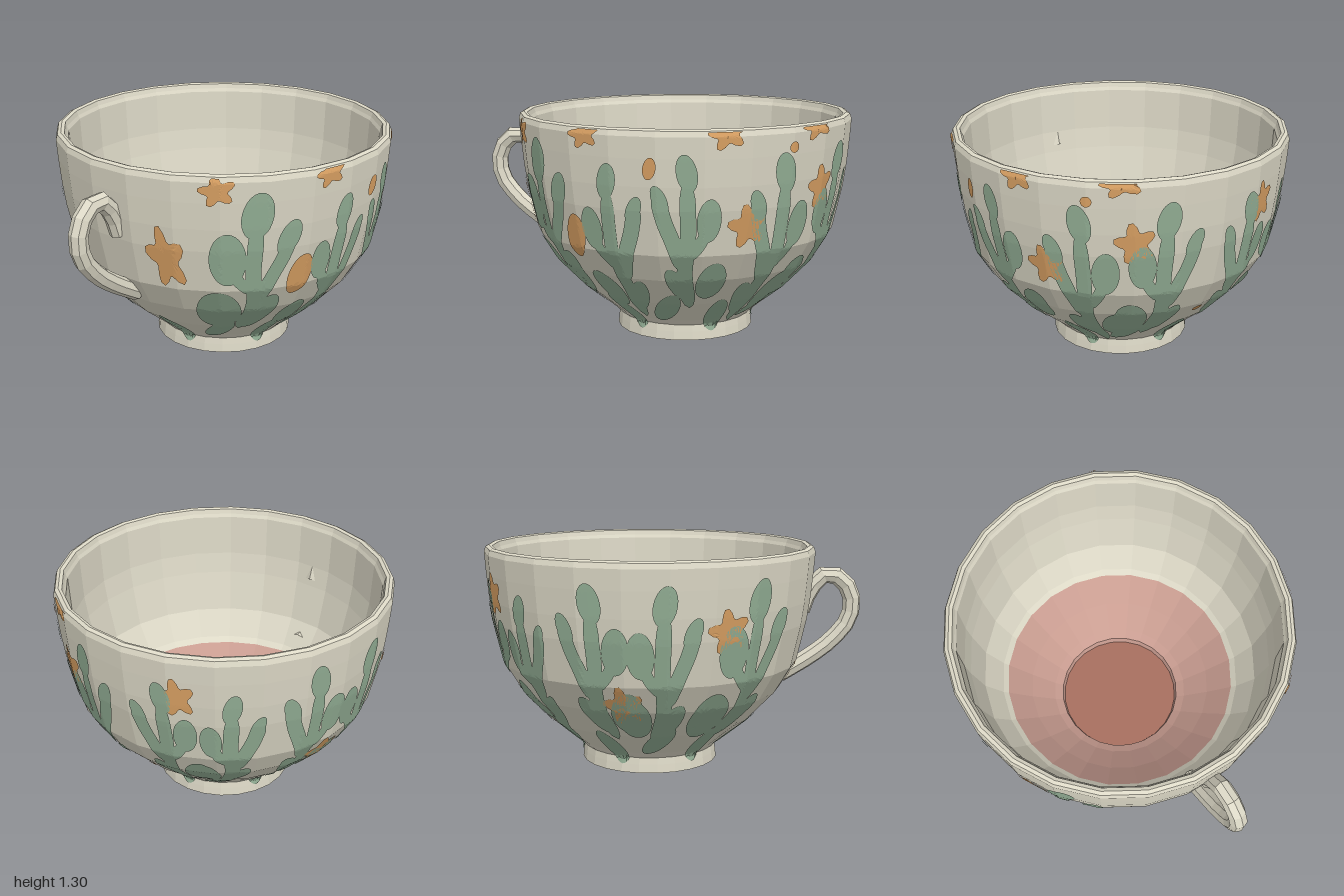
import * as THREE from 'three';
import { mergeGeometries } from 'three/addons/utils/BufferGeometryUtils.js';

const SIDES = 24;
const OUTER = [[0.41, 0], [0.405, 0.05], [0.4, 0.09], [0.44, 0.13], [0.62, 0.28], [0.79, 0.46], [0.885, 0.62],
  [0.94, 0.87], [0.958, 1.0], [0.972, 1.15], [0.98, 1.265], [0.97, 1.295], [0.95, 1.305]];
const INNER = [[0.95, 1.305], [0.93, 1.298], [0.922, 1.27], [0.912, 1.25], [0.9, 1.0], [0.88, 0.87], [0.825, 0.62],
  [0.73, 0.46], [0.70, 0.43]];
const WELL = [[0.70, 0.43], [0.56, 0.29], [0.42, 0.17], [0.37, 0.14], [0.36, 0.1]];
const BASE = [[0, 0.04], [0.35, 0.04], [0.36, 0], [0.41, 0]];

// Seaweed plants: angle around the cup, foot height, tip height, side of the branch, leaf size
const PLANTS = [[-4, 0.25, 1.2, 1, 1], [28, 0.15, 1.15, 1, 0.65], [55, 0.25, 1.2, -1, 0.65], [88, 0.1, 1.2, -1, 0.75],
  [115, 0.2, 1.2, 1, 0.75], [148, 0.25, 1.15, -1, 0.65], [170, 0.25, 1.1, 1, 0.6], [200, 0.25, 1.2, -1, 0.75],
  [223, 0.2, 1.2, 1, 0.75], [256, 0.2, 1.2, 1, 0.9]];

// Starfish: angle, height, half width, half height
const STARS = [[-33, 0.81, 0.09, 0.155], [-16, 1.22, 0.08, 0.07], [21, 1.26, 0.08, 0.06], [-67, 0.57, 0.06, 0.06],
  [75, 0.78, 0.09, 0.1], [105, 0.95, 0.09, 0.1], [67, 1.28, 0.085, 0.07], [101, 1.29, 0.1, 0.06],
  [153, 1.05, 0.08, 0.1], [245, 0.92, 0.1, 0.1], [209, 0.5, 0.09, 0.1]];

// Plain orange spots, same order
const SPOTS = [[13, 0.69, 0.07, 0.13], [43, 1.1, 0.035, 0.06], [90, 1.19, 0.03, 0.03], [135, 0.42, 0.03, 0.025]];

function material(name, color) {
  const m = new THREE.MeshStandardMaterial({ color });
  m.name = name;
  return m;
}

// Faceted normals
function flat(geo) {
  const g = geo.toNonIndexed();
  g.computeVertexNormals();
  return g;
}

const lathe = (pts) => flat(new THREE.LatheGeometry(pts.map((p) => new THREE.Vector2(...p)), SIDES));

// Radius of the outer wall at a height
function radiusAt(y) {
  const i = OUTER.findIndex((p) => p[1] > y);
  const [r0, y0] = OUTER[i - 1], [r1, y1] = OUTER[i];
  return r0 + (r1 - r0) * (y - y0) / (y1 - y0);
}

// Wraps a flat point (h across, y up), centred on an angle in degrees, onto the faceted wall
function wrap(deg, h, height) {
  const y = THREE.MathUtils.clamp(height, 0.004, 1.29);
  const R = radiusAt(y), step = 2 * Math.PI / SIDES;
  const a = THREE.MathUtils.degToRad(deg) + h / R;
  const within = a - Math.floor(a / step) * step - step / 2;
  const r = R * Math.cos(step / 2) / Math.cos(within) + 0.007;
  return [r * Math.sin(a), y, r * Math.cos(a)];
}

// Thin painted sheet from a grid of wrapped points
function sheet(deg, nu, nv, point) {
  const pos = [], idx = [];
  for (let i = 0; i <= nu; i++) {
    for (let j = 0; j <= nv; j++) pos.push(...wrap(deg, ...point(i / nu, j / nv)));
  }
  for (let i = 0; i < nu; i++) {
    for (let j = 0; j < nv; j++) {
      const a = i * (nv + 1) + j, b = a + nv + 1;
      idx.push(a, b, a + 1, b, b + 1, a + 1);
    }
  }
  const g = new THREE.BufferGeometry();
  g.setAttribute('position', new THREE.Float32BufferAttribute(pos, 3));
  g.setIndex(idx);
  return flat(g);
}

// Round leaf, or a star when lobes is above zero
function blob(deg, h, y, rx, ry, tilt, lobes = 0) {
  const c = Math.cos(tilt), s = Math.sin(tilt);
  return sheet(deg, 5, 30, (u, v) => {
    const t = v * 2 * Math.PI, k = u * (1 + lobes * Math.cos(5 * (t - Math.PI / 2)));
    const px = rx * k * Math.cos(t), py = ry * k * Math.sin(t);
    return [h + px * c - py * s, y + px * s + py * c];
  });
}

// Curved stem with tapered ends
function stem(deg, width, pts) {
  const curve = new THREE.CatmullRomCurve3(pts.map(([h, y]) => new THREE.Vector3(h, y, 0)));
  return sheet(deg, 4, 28, (u, v) => {
    const p = curve.getPoint(v), t = curve.getTangent(v);
    const w = width * (u - 0.5) * Math.min(1, 3 * Math.sqrt(v * (1 - v)) + 0.02);
    return [p.x + t.y * w, p.y - t.x * w];
  });
}

// One plant: main stem, a branch each way, and five leaves
function plant([deg, foot, tip, side, size]) {
  const at = (h, f) => [h * side * (0.4 + 0.6 * size), foot + f * (tip - foot)];
  const leaf = (h, f, rx, ry, tilt) => blob(deg, ...at(h, f), rx * size, ry * (0.3 + 0.7 * size), tilt * side);
  return [
    stem(deg, 0.085, [at(-0.02, 0), at(0.02, 0.27), at(0, 0.5), at(0.01, 0.85)]),
    stem(deg, 0.085, [at(0.02, 0.28), at(0.1, 0.47), at(0.16, 0.6), at(0.21, 0.76)]),
    stem(deg, 0.065, [at(0, 0.38), at(-0.07, 0.45), at(-0.14, 0.56)]),
    leaf(0.01, 0.87, 0.085, 0.135, -0.2),
    leaf(-0.14, 0.6, 0.1, 0.16, 0.1),
    leaf(0.19, 0.72, 0.06, 0.11, -0.4),
    leaf(-0.16, 0.21, 0.12, 0.17, 0.35),
    leaf(0.06, 0.18, 0.08, 0.17, -0.5),
  ];
}

export function createModel() {
  const cup = new THREE.Group();
  cup.name = 'cup';
  const glaze = material('cream glaze', 0xddd9c7);
  const green = material('seaweed green', 0x94b096);
  const orange = material('starfish orange', 0xdba264);
  const pink = material('pink glaze', 0xc99d91);
  const rose = material('floor rose', 0xa87060);
  const teal = material('base teal', 0x5a94a3);
  const add = (name, geo, mat) => {
    const mesh = new THREE.Mesh(geo, mat);
    mesh.name = name;
    mesh.position.x = 0.015;
    cup.add(mesh);
    return mesh;
  };

  // Cup shell
  add('outerWall', lathe(OUTER), glaze);
  add('innerWall', lathe(INNER), glaze);
  add('innerWell', lathe(WELL), pink);
  add('innerFloor', lathe([[0.36, 0.1], [0, 0.1]]), rose);
  add('footBase', lathe(BASE), teal);

  // Painted seaweed, with a ring of low leaves above the foot
  const weeds = PLANTS.flatMap(plant);
  for (let i = 0; i < 12; i++) {
    const odd = i % 2;
    weeds.push(blob(14 + i * 30, 0, 0.18 + 0.06 * odd, 0.06, 0.13, odd ? -0.6 : 0.15));
  }
  add('seaweed', mergeGeometries(weeds), green);

  // Painted starfish and spots
  const stars = STARS.map(([deg, y, rx, ry]) => blob(deg, 0, y, rx, ry, 0.2, 0.3));
  const spots = SPOTS.map(([deg, y, rx, ry]) => blob(deg, 0, y, rx, ry, -0.2));
  add('starfish', mergeGeometries([...stars, ...spots]), orange);

  // Handle: an ear-shaped loop with both ends sunk in the wall
  const path = new THREE.CatmullRomCurve3([[0.915, 0.9], [0.96, 1.02], [1.05, 1.115], [1.15, 1.09], [1.215, 0.97],
    [1.195, 0.84], [1.09, 0.71], [0.96, 0.61], [0.79, 0.505]].map(([x, y]) => new THREE.Vector3(x, y, 0)));
  const handle = add('handle', flat(new THREE.TubeGeometry(path, 14, 0.053, 8)), glaze);
  handle.rotation.y = Math.PI * 1.212;

  return cup;
}
